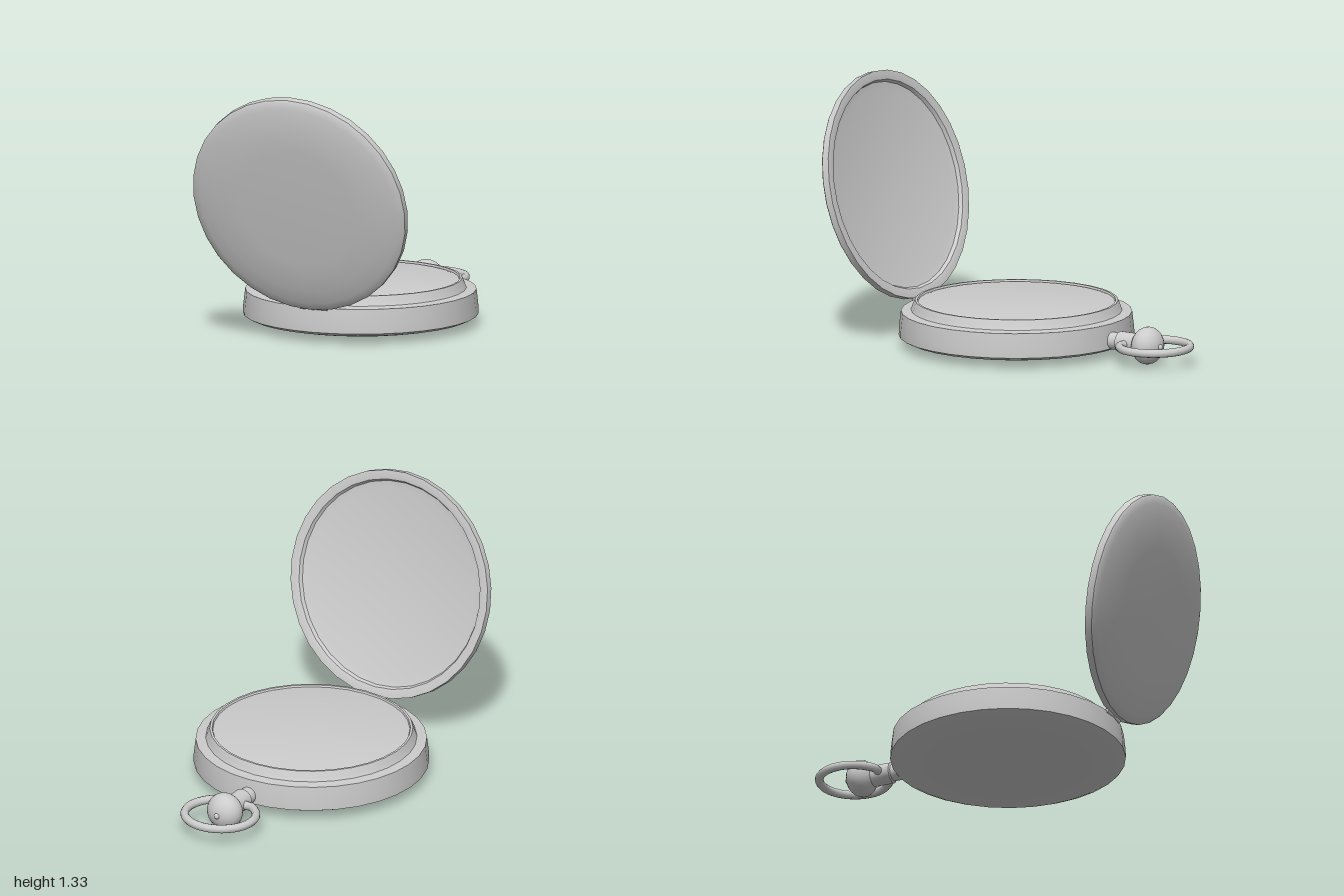
import * as THREE from 'three';
import { toCreasedNormals } from 'three/addons/utils/BufferGeometryUtils.js';

const metal = new THREE.MeshStandardMaterial({ color: 0xcccccc, side: THREE.DoubleSide });
const CASE_Z = 0.065, STEM_Y = 0.1;

export function createModel() {
  const model = new THREE.Group();

  const add = (name, geometry) => {
    const mesh = new THREE.Mesh(geometry, metal);
    mesh.name = name;
    model.add(mesh);
    return mesh;
  };

  // Turned part from [radius, height] pairs, running bottom to top
  const turned = (name, profile, segments = 32) => {
    const points = profile.map(([r, h]) => new THREE.Vector2(r, h));
    return add(name, toCreasedNormals(new THREE.LatheGeometry(points, segments), 0.6));
  };

  // Case body, with a rounded back
  turned('caseBody', [
    [0, 0.03], [0.44, 0.03], [0.52, 0.032], [0.57, 0.043], [0.605, 0.06],
    [0.604, 0.1], [0.594, 0.187], [0.585, 0.187], [0.535, 0.195],
  ]).position.z = CASE_Z;

  // Sloped bezel around the crystal
  turned('bezel', [
    [0.56, 0.17], [0.545, 0.188], [0.533, 0.22], [0.522, 0.244], [0.51, 0.244], [0.505, 0.232],
  ]).position.z = CASE_Z;

  turned('crystal', [[0.508, 0.234], [0.49, 0.238], [0, 0.24]]).position.z = CASE_Z;

  // Open lid: recessed inside, domed outside
  const lid = turned('lid', [
    [0, 0.045], [0.5, 0.03], [0.535, 0.022], [0.545, 0.004], [0.56, 0], [0.593, 0],
    [0.593, 0.038], [0.585, 0.046], [0.55, 0.055], [0.47, 0.075], [0.32, 0.081], [0, 0.085],
  ]);
  lid.rotation.x = THREE.MathUtils.degToRad(105);
  lid.position.set(0, 0.763, 0.803);

  // Hinge joining lid and case
  const hinge = add('hinge', new THREE.CylinderGeometry(0.012, 0.012, 0.15, 12));
  hinge.rotation.z = Math.PI / 2;
  hinge.position.set(0, 0.187, 0.652);

  // Stepped stem running out of the back edge
  const stem = turned('stem', [
    [0.045, 0], [0.045, 0.07], [0.055, 0.075], [0.055, 0.18], [0, 0.18],
  ], 20);
  stem.rotation.x = -Math.PI / 2;
  stem.position.set(0, STEM_Y, -0.51);

  // Flattened ball crown with a small end button
  const crown = add('crown', new THREE.SphereGeometry(0.097, 24, 16));
  crown.scale.z = 0.82;
  crown.position.set(0, STEM_Y, -0.756);

  const button = add('crownButton', new THREE.SphereGeometry(0.016, 12, 8));
  button.position.set(0, STEM_Y, -0.832);

  // Bow: open ring whose ends turn in to the stem
  const bowPoints = [new THREE.Vector3(-0.04, STEM_Y, -0.643)];
  for (let i = 0; i <= 20; i++) {
    const a = THREE.MathUtils.lerp(-2.65, 2.65, i / 20);
    bowPoints.push(new THREE.Vector3(0.185 * Math.sin(a), STEM_Y, -0.8 - 0.178 * Math.cos(a)));
  }
  bowPoints.push(new THREE.Vector3(0.04, STEM_Y, -0.643));
  add('bow', new THREE.TubeGeometry(new THREE.CatmullRomCurve3(bowPoints), 48, 0.022, 10));

  return model;
}
